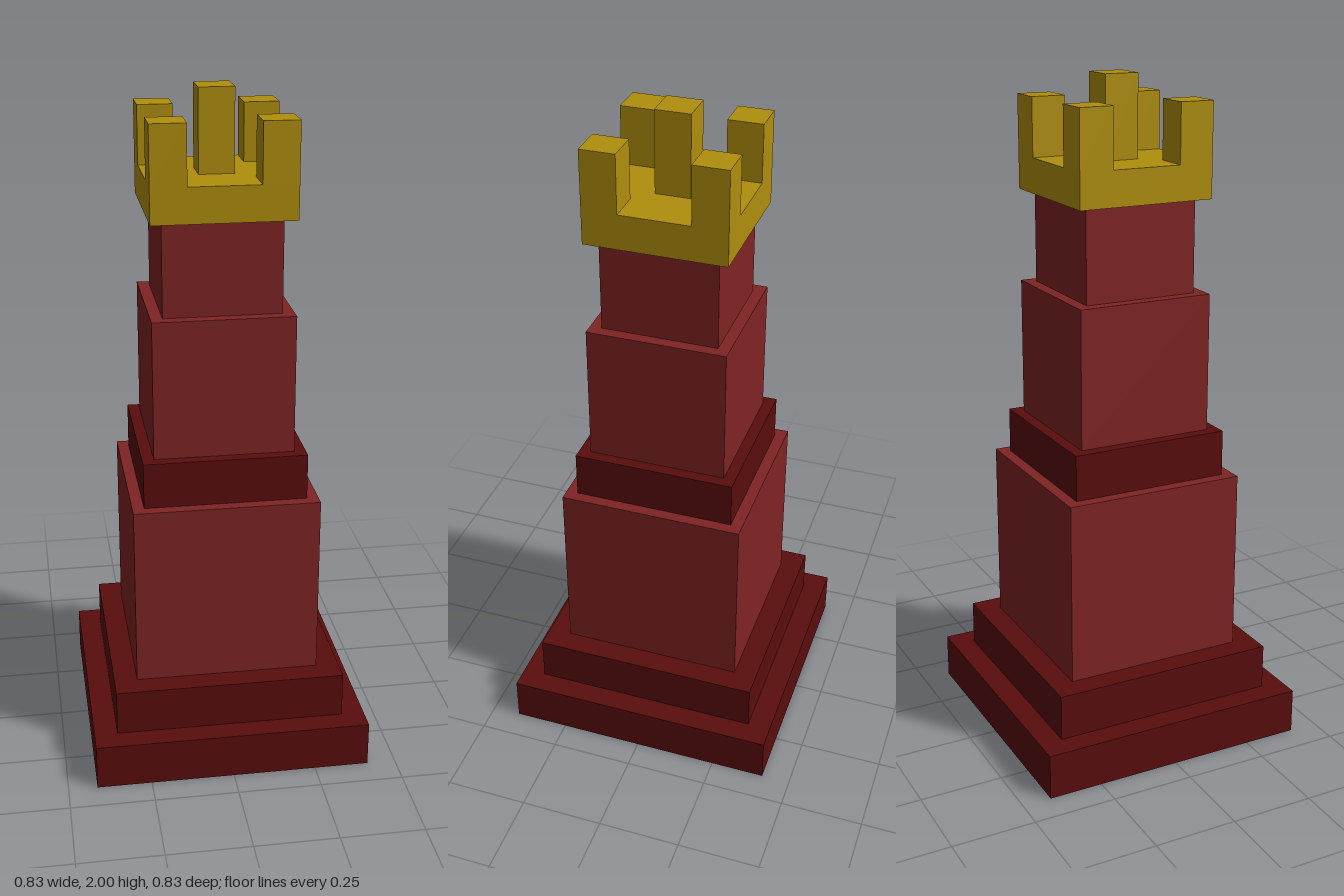
import * as THREE from 'three';

const U = 2 / 29; // modular unit: the tower is 29 units tall

export function createModel() {
  const tower = new THREE.Group();
  tower.name = 'tower';

  const material = (name, color) => {
    const m = new THREE.MeshStandardMaterial({ color });
    m.name = name;
    return m;
  };
  const darkRed = material('dark red', 0x5a0d0d);
  const red = material('brick red', 0x802424);
  const gold = material('gold', 0xb08f0d);

  // Square block given by its width, bottom and top in units
  const block = (name, mat, width, bottom, top, x = 0, z = 0) => {
    const geometry = new THREE.BoxGeometry(width * U, (top - bottom) * U, width * U);
    const mesh = new THREE.Mesh(geometry, mat);
    mesh.name = name;
    mesh.position.set(x * U, ((bottom + top) / 2) * U, z * U);
    tower.add(mesh);
  };

  // Stepped base and shaft
  block('basePlinth', darkRed, 12, 0, 2);
  block('baseStep', darkRed, 10, 2, 4);
  block('lowerShaft', red, 8, 4, 12);
  block('middleBand', darkRed, 7, 12, 14);
  block('upperShaft', red, 6, 14, 20);
  block('neck', red, 5, 20, 24);

  // Crown with four corner battlements and a taller centre post
  block('crownPlate', gold, 6, 24, 25.5);
  for (const x of [-2.25, 2.25]) {
    for (const z of [-2.25, 2.25]) block('cornerBattlement', gold, 1.5, 25.5, 28, x, z);
  }
  block('centrePost', gold, 1.5, 25.5, 29);

  return tower;
}
